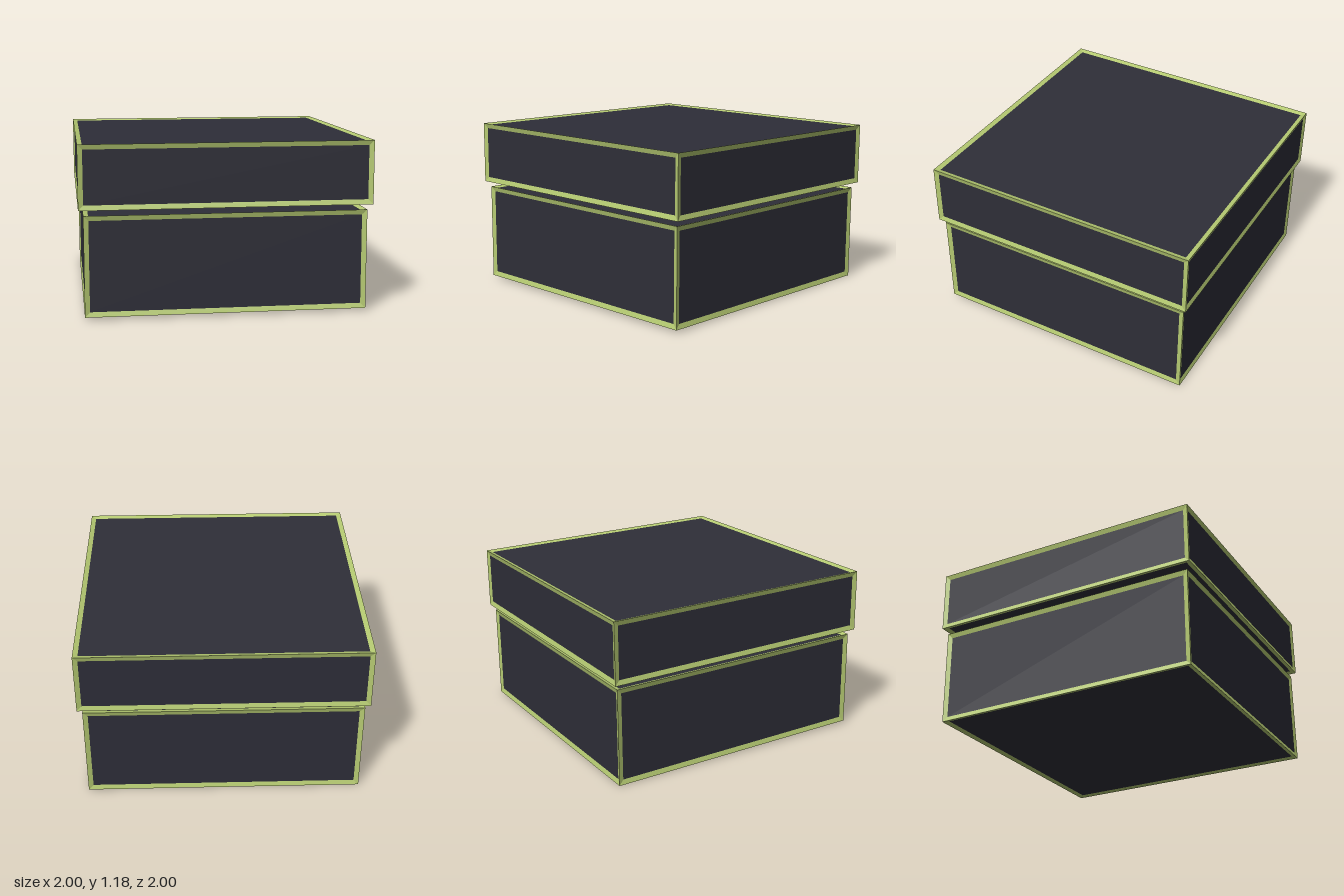
import * as THREE from 'three';

const INSET = 0.034;  // width of the coloured edging
const RECESS = 0.01;  // how far the panels sink in

// Four sloping strips running from the outer edge of a face to its sunken panel
function edgingGeometry(w, h) {
  const ring = (x, y, z) => [[-x, -y, z], [x, -y, z], [x, y, z], [-x, y, z]];
  const outer = ring(w / 2, h / 2, 0);
  const inner = ring(w / 2 - INSET, h / 2 - INSET, -RECESS);
  const pos = [];
  for (let i = 0; i < 4; i++) {
    const j = (i + 1) % 4;
    for (const p of [outer[i], outer[j], inner[j], outer[i], inner[j], inner[i]]) pos.push(...p);
  }
  const geo = new THREE.BufferGeometry();
  geo.setAttribute('position', new THREE.Float32BufferAttribute(pos, 3));
  geo.computeVertexNormals();
  return geo;
}

// A closed box with six framed, slightly sunken panels
function framedBox(name, w, h, d, edging, dark) {
  const box = new THREE.Group();
  box.name = name;
  const q = Math.PI / 2;
  const faces = [
    ['Front', w, h, d, 0, 0], ['Back', w, h, d, 0, 2 * q],
    ['Left', d, h, w, 0, q], ['Right', d, h, w, 0, -q],
    ['Top', w, d, h, -q, 0], ['Bottom', w, d, h, q, 0],
  ];
  for (const [side, fw, fh, depth, rx, ry] of faces) {
    const face = new THREE.Group();
    face.name = name + side;
    const frame = new THREE.Mesh(edgingGeometry(fw, fh), edging);
    frame.name = 'edging';
    frame.position.z = depth / 2;
    const panel = new THREE.Mesh(new THREE.PlaneGeometry(fw - 2 * INSET, fh - 2 * INSET), dark);
    panel.name = 'panel';
    panel.position.z = depth / 2 - RECESS;
    face.add(frame, panel);
    face.rotation.set(rx, ry, 0);
    box.add(face);
  }
  return box;
}

export function createModel() {
  const model = new THREE.Group();
  model.name = 'liddedBox';
  const dark = new THREE.MeshStandardMaterial({ color: 0x2e2e38 });
  dark.name = 'darkPanel';
  const edging = new THREE.MeshStandardMaterial({ color: 0xb6cb72 });
  edging.name = 'limeEdging';

  // Both boxes share a very slight turn and tilt
  const stack = new THREE.Group();
  stack.name = 'stack';
  stack.rotation.set(-0.0105, 0.01, 0);
  stack.position.z = 0.01;
  model.add(stack);

  const base = framedBox('base', 1.915, 0.685, 1.915, edging, dark);
  base.position.y = 0.3525;
  const lid = framedBox('lid', 1.98, 0.435, 1.975, edging, dark);
  lid.position.y = 0.9525; // floats just above the base
  stack.add(base, lid);
  return model;
}
